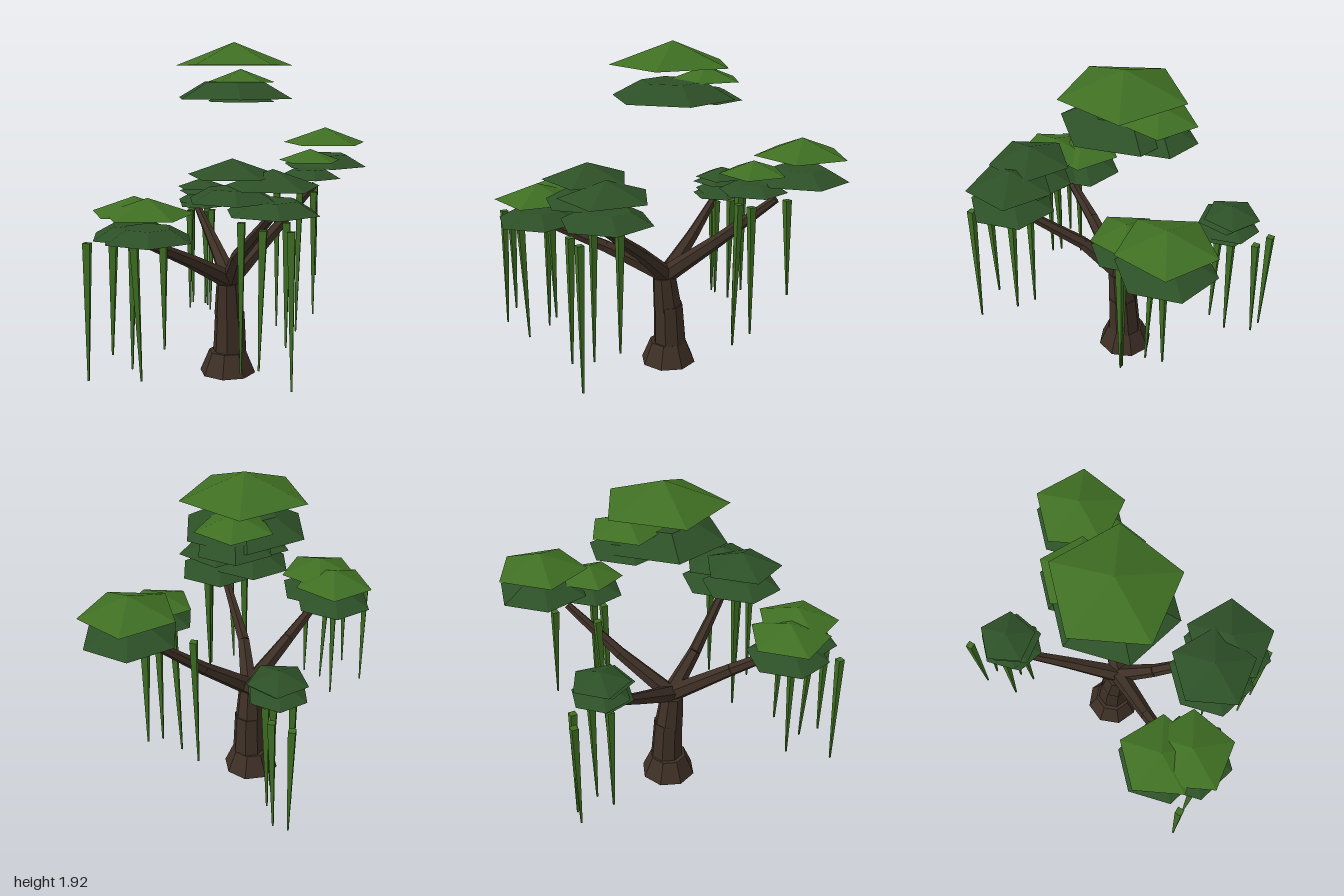
import * as THREE from 'three';

const mat = (name, color) => {
  const m = new THREE.MeshStandardMaterial({ color, flatShading: true });
  m.name = name;
  return m;
};

export function createModel() {
  const tree = new THREE.Group();
  tree.name = 'tree';
  const bark = mat('bark brown', 0x3d2f25);
  const light = mat('light leaf green', 0x3f6f23);
  const dark = mat('dark leaf green', 0x2d5027);

  const add = (geometry, material, name, parent = tree) => {
    const mesh = new THREE.Mesh(geometry, material);
    mesh.name = name;
    parent.add(mesh);
    return mesh;
  };

  // Tapered prism between two points, r0 at a and r1 at b
  const limb = (a, b, r0, r1, sides, material, name, parent) => {
    const p = new THREE.Vector3(...a), q = new THREE.Vector3(...b);
    const dir = q.clone().sub(p);
    const mesh = add(new THREE.CylinderGeometry(r1, r0, dir.length(), sides), material, name, parent);
    mesh.position.copy(p).add(q).multiplyScalar(0.5);
    mesh.quaternion.setFromUnitVectors(new THREE.Vector3(0, 1, 0), dir.normalize());
    return mesh;
  };

  // Trunk: flared foot and two slightly leaning sections
  const foot = add(new THREE.CylinderGeometry(0.11, 0.165, 0.13, 8), bark, 'trunkFoot');
  foot.position.set(-0.035, 0.065, 0.015);
  limb([-0.03, 0.1, 0.003], [-0.02, 0.37, 0.01], 0.1, 0.087, 8, bark, 'lowerTrunk');
  limb([-0.02, 0.35, 0.015], [-0.005, 0.55, 0.03], 0.087, 0.07, 8, bark, 'upperTrunk');

  // Branches through a start, bend and tip
  const fork = [0, 0.56, 0.02];
  const branches = [
    ['rightBranch', [-0.3, 0.72, -0.07], [-0.6, 0.89, -0.15]],
    ['leftBranch', [0.2, 0.75, 0.11], [0.61, 1.03, 0.21]],
    ['backBranch', [-0.01, 0.8, -0.29], [0, 1.07, -0.61]],
    ['frontBranch', [0.09, 0.74, 0.36], [0.2, 0.905, 0.71]],
  ];
  for (const [name, bend, tip] of branches) {
    const g = new THREE.Group();
    g.name = name;
    tree.add(g);
    limb(fork, bend, 0.055, 0.038, 6, bark, 'innerBranch', g);
    limb(bend, tip, 0.038, 0.023, 6, bark, 'outerBranch', g);
  }

  // Foliage: five-sided cap floating over a six-sided truncated skirt
  // x, y of the cap base, z, radius, cap colour
  const pads = [
    [-0.015, 1.79, -0.017, 0.35, light],
    [-0.162, 1.692, -0.17, 0.212, light],
    [-0.05, 1.316, -0.735, 0.265, light],
    [0.09, 1.233, -0.495, 0.19, light],
    [0.45, 1.24, 0.325, 0.24, dark],
    [0.59, 1.185, 0.175, 0.253, dark],
    [-0.605, 1.02, -0.185, 0.165, dark],
    [-0.573, 0.997, -0.175, 0.163, dark],
    [0.078, 1.035, 0.685, 0.24, light],
    [0.245, 1.046, 0.7, 0.243, light],
  ];
  for (const [x, y, z, r, capMaterial] of pads) {
    const g = new THREE.Group();
    g.name = 'foliagePad';
    g.position.set(x, y, z);
    tree.add(g);
    const cap = add(new THREE.ConeGeometry(r, 0.365 * r, 5), capMaterial, 'foliageCap', g);
    cap.position.y = 0.18 * r;
    cap.rotation.y = Math.PI / 2;
    const skirt = add(new THREE.CylinderGeometry(0.52 * r, r, 0.26 * r, 6), dark, 'foliageSkirt', g);
    skirt.position.y = -0.39 * r;
  }

  // Hanging vines: top height, then [top x, top z, bottom x, bottom z, bottom y]
  const vines = [
    [0.87, [[-0.83, -0.25, -0.82, -0.25, 0.2], [-0.72, -0.3, -0.75, -0.3, 0.2],
      [-0.65, -0.12, -0.655, -0.12, 0.22], [-0.59, -0.25, -0.6, -0.24, 0.2],
      [-0.545, -0.165, -0.525, -0.17, 0.26]]],
    [1.0, [[0.48, 0.29, 0.49, 0.3, 0.2], [0.61, 0.1, 0.62, 0.105, 0.34],
      [0.715, 0.33, 0.705, 0.345, 0.29], [0.82, 0.24, 0.835, 0.24, 0.2]]],
    [1.05, [[-0.09, -0.39, -0.06, -0.37, 0.2], [0.09, -0.42, 0.09, -0.4, 0.2],
      [0.125, -0.495, 0.125, -0.505, 0.3], [-0.06, -0.665, -0.065, -0.685, 0.48]]],
    [0.915, [[0.115, 0.975, 0.12, 0.99, 0.2], [0.215, 0.88, 0.2, 0.89, 0.34],
      [0.28, 0.8, 0.285, 0.775, 0.2], [0.1, 0.71, 0.1, 0.725, 0.2],
      [0.26, 0.62, 0.25, 0.615, 0.33]]],
  ];
  for (const [top, strands] of vines) {
    const g = new THREE.Group();
    g.name = 'vineCluster';
    tree.add(g);
    for (const [x0, z0, x1, z1, bottom] of strands) {
      limb([x1, bottom, z1], [x0, top, z0], 0.006, 0.027, 4, light, 'vine', g);
    }
  }
  return tree;
}
